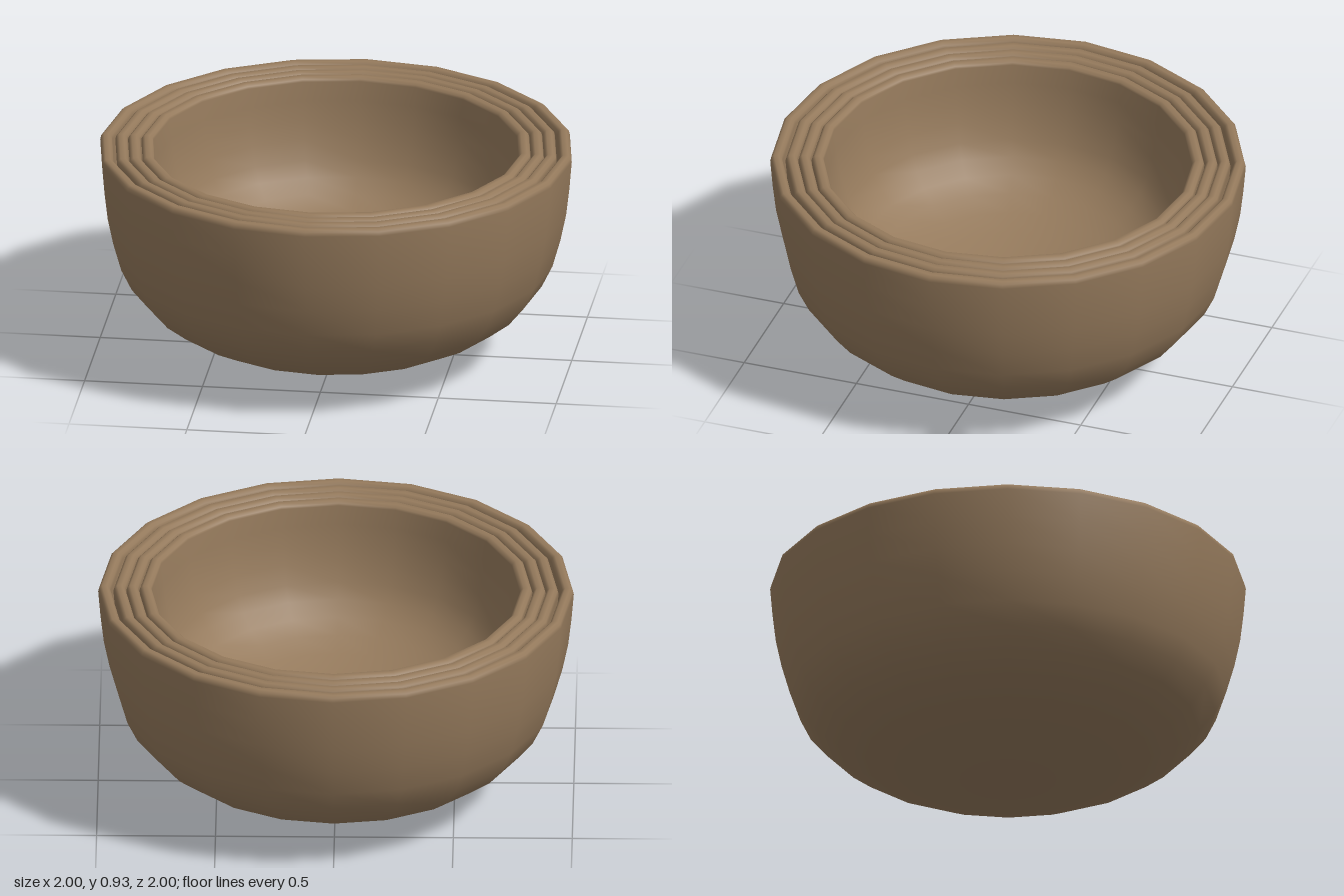
import * as THREE from 'three';

const TOP = 0.925;
const SEGMENTS = 20;

// Unit bowl curve from base centre to rim: [radius, height fraction]
const CURVE = [
  [0, 0], [0.17, 0.01], [0.31, 0.033], [0.465, 0.076], [0.6, 0.127],
  [0.715, 0.19], [0.805, 0.265], [0.873, 0.355], [0.918, 0.455],
  [0.952, 0.585], [0.976, 0.71], [0.99, 0.84], [1, 0.97],
];

// Curve scaled to a rim radius and a base height
function wall(radius, base) {
  return CURVE.map(([r, h]) => new THREE.Vector2(r * radius, base + h * (TOP - base)));
}

// Thick bowl: outside wall, rounded lip, inside wall
function bowlGeometry(radius, base, thickness, floor) {
  const lip = [
    new THREE.Vector2(radius - thickness * 0.08, TOP - 0.01),
    new THREE.Vector2(radius - thickness * 0.3, TOP),
    new THREE.Vector2(radius - thickness * 0.7, TOP),
    new THREE.Vector2(radius - thickness * 0.92, TOP - 0.01),
  ];
  const inside = wall(radius - thickness, base + floor).reverse();
  return new THREE.LatheGeometry([...wall(radius, base), ...lip, ...inside], SEGMENTS);
}

export function createModel() {
  const group = new THREE.Group();
  group.name = 'nestedBowls';
  const clay = new THREE.MeshStandardMaterial({ color: 0x957a5c });
  clay.name = 'brown clay';

  // Four bowls stacked inside one another with level rims
  const radii = [1, 0.936, 0.882, 0.826];
  radii.forEach((radius, i) => {
    const bowl = new THREE.Mesh(bowlGeometry(radius, i * 0.075, 0.052, 0.06), clay);
    bowl.name = `bowl${i + 1}`;
    group.add(bowl);
  });
  return group;
}
